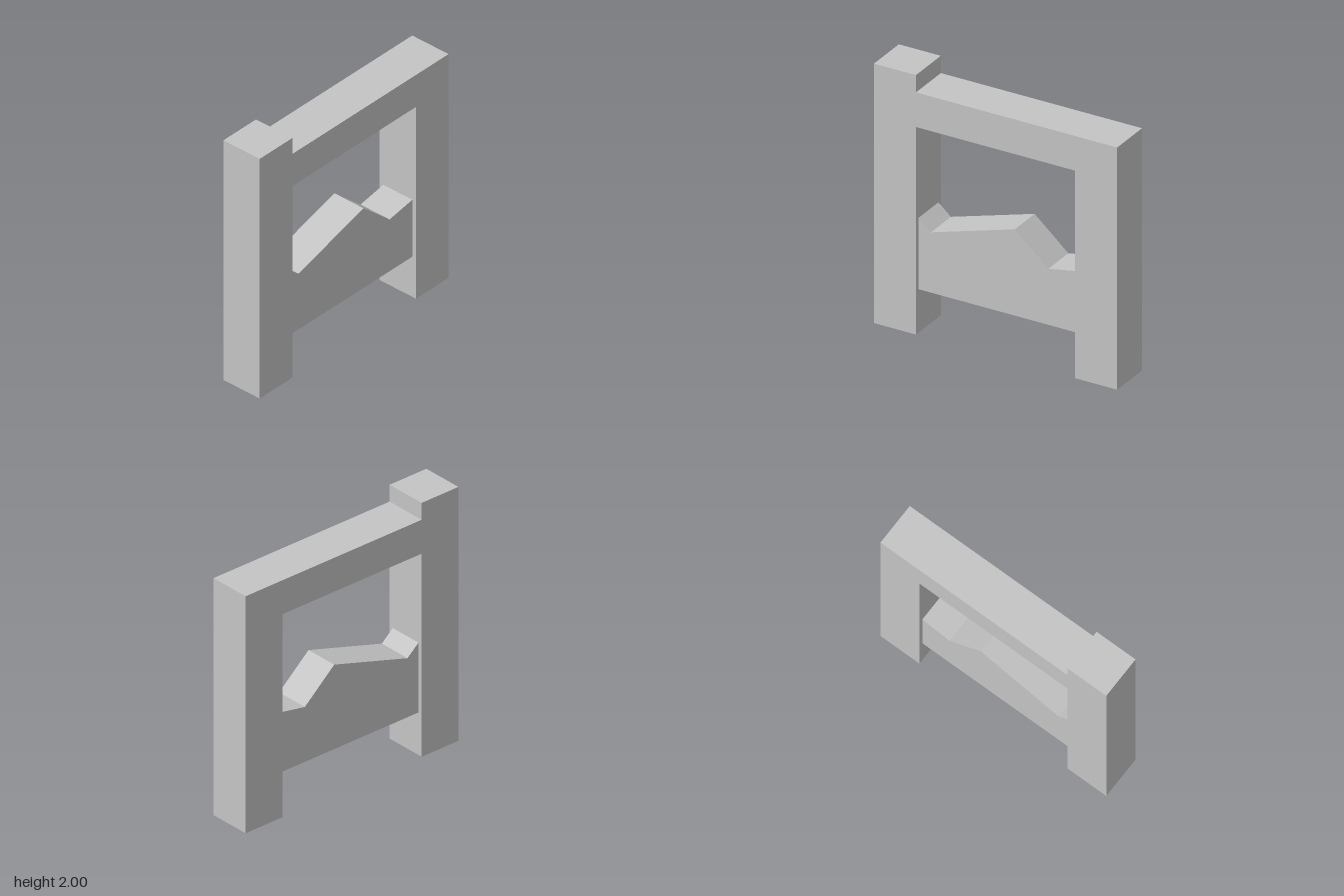
import * as THREE from 'three';

const lightGrey = new THREE.MeshStandardMaterial({ color: 0xc4c4c4 });
lightGrey.name = 'lightGrey';

// Flat-sided slab: an outline in x/y, extruded and centred on z = 0
function slab(name, outline, depth) {
  const shape = new THREE.Shape(outline.map(([x, y]) => new THREE.Vector2(x, y)));
  const geometry = new THREE.ExtrudeGeometry(shape, { depth, bevelEnabled: false });
  geometry.translate(0, 0, -depth / 2);
  const mesh = new THREE.Mesh(geometry, lightGrey);
  mesh.name = name;
  return mesh;
}

export function createModel() {
  const model = new THREE.Group();
  model.name = 'gateFrame';

  const outer = 0.967, inner = 0.633;
  const top = 2, beamTop = 1.867, beamBottom = 1.6;

  // Two posts joined by the top beam; the post on the -x side rises above it
  model.add(slab('frame', [
    [-outer, 0], [-inner, 0], [-inner, beamBottom], [inner, beamBottom],
    [inner, 0], [outer, 0], [outer, beamTop], [-inner, beamTop],
    [-inner, top], [-outer, top],
  ], 0.333));

  // Thinner panel with a jagged, broken top edge, set between the posts
  model.add(slab('brokenPanel', [
    [-inner, 0.335], [inner, 0.335], [inner, 0.81], [0.4, 0.767],
    [0.133, 1], [-0.533, 0.8], [-inner, 0.885],
  ], 0.267));

  return model;
}
